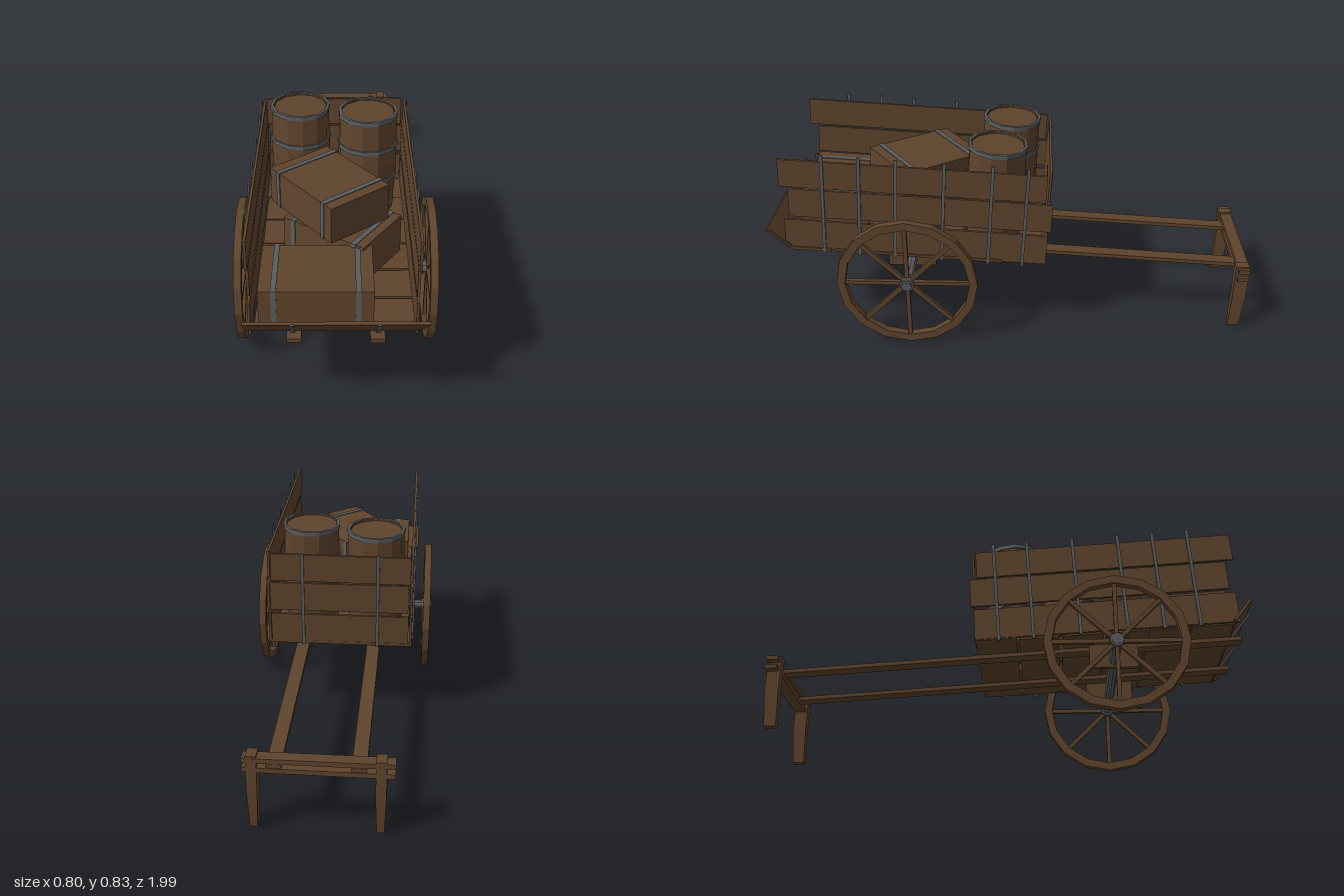
import * as THREE from 'three';

export function createModel() {
  const wood = new THREE.MeshStandardMaterial({ color: 0x5f442d });
  wood.name = 'brown wood';
  const metal = new THREE.MeshStandardMaterial({ color: 0x5b5d60 });
  metal.name = 'grey iron';

  // faceted normals for the low-poly look
  const flat = (geo) => {
    const g = geo.index ? geo.toNonIndexed() : geo;
    g.computeVertexNormals();
    return g;
  };
  const add = (parent, name, geo, mat, x = 0, y = 0, z = 0) => {
    const m = new THREE.Mesh(flat(geo), mat);
    m.name = name;
    m.position.set(x, y, z);
    parent.add(m);
    return m;
  };
  const box = (parent, name, mat, w, h, d, x, y, z) =>
    add(parent, name, new THREE.BoxGeometry(w, h, d), mat, x, y, z);
  const group = (parent, name, x = 0, y = 0, z = 0) => {
    const g = new THREE.Group();
    g.name = name;
    g.position.set(x, y, z);
    parent.add(g);
    return g;
  };
  // small repeatable unevenness
  let seed = 7;
  const jitter = (a) => {
    seed = (seed * 16807) % 2147483647;
    return (seed / 2147483647 - 0.5) * 2 * a;
  };

  const model = new THREE.Group();
  model.name = 'handCart';

  // everything carried by the shafts leans slightly back
  const body = group(model, 'cartBody', 0, 0.337, 0);
  body.rotation.x = -0.062;

  // long shafts and axle brackets
  for (const x of [-0.153, 0.143]) {
    box(body, 'shaft', wood, 0.053, 0.017, 1.94, x, 0, -0.02);
    box(model, 'axleBracket', wood, 0.018, 0.11, 0.2, x + Math.sign(x) * 0.037, 0.32, 0.42);
  }

  // floor planks
  for (let i = 0; i < 6; i++) {
    const p = box(body, 'floorPlank', wood, 0.59, 0.012, 0.166, -0.008 + jitter(0.008), 0.015, -0.055 + i * 0.175);
    p.rotation.set(jitter(0.02), jitter(0.01), jitter(0.008));
  }

  // side walls: [bottom, top, back z, front z]
  const rows = [[0.013, 0.147, -0.14, 0.925], [0.165, 0.29, -0.15, 0.905], [0.298, 0.417, -0.12, 0.94]];
  for (const [x, out] of [[-0.309, -1], [0.282, 1]]) {
    for (const [b, t, z0, z1] of rows) {
      const p = box(body, 'sideBoard', wood, 0.01, t - b, z1 - z0, x, (b + t) / 2, (z0 + z1) / 2);
      p.rotation.x = jitter(0.006);
    }
    for (const z of [0.78, 0.635, 0.49, 0.3, 0.11, -0.03])
      box(body, 'sideStrap', metal, 0.007, 0.447, 0.013, x + out * 0.009, 0.225, z - 0.014);
  }

  // back wall
  rows.forEach(([b, t], i) => {
    const p = box(body, 'backBoard', wood, 0.575, t - b, 0.01, -0.012 + [0, 0.003, -0.004][i], (b + t) / 2, -0.132);
    p.rotation.z = jitter(0.008);
  });
  for (const x of [-0.17, 0.14])
    box(body, 'backStrap', metal, 0.013, 0.42, 0.007, x, 0.215, -0.141);

  // tailgate dropped outward, one end cut on a slant
  const tailgate = group(model, 'tailgate', 0, 0.405, 0.898);
  tailgate.rotation.x = 0.66;
  const gateShape = new THREE.Shape([[-0.33, 0], [0.287, -0.006], [0.322, 0.138], [-0.33, 0.118]]
    .map(([x, y]) => new THREE.Vector2(x, y)));
  add(tailgate, 'tailgateBoard', new THREE.ExtrudeGeometry(gateShape, { depth: 0.012, bevelEnabled: false }), wood, 0, 0, -0.006);
  for (const x of [-0.158, 0.145])
    box(tailgate, 'tailgateStrap', metal, 0.014, 0.155, 0.007, x, 0.072, 0.01);

  // handle bars and prop legs
  const handle = group(model, 'handle', -0.012, 0, -0.967);
  box(handle, 'upperHandleBar', wood, 0.535, 0.019, 0.048, 0, 0.296, 0).rotation.y = 0.006;
  box(handle, 'lowerHandleBar', wood, 0.535, 0.019, 0.048, 0, 0.258, 0);
  for (const x of [-0.218, 0.234]) {
    const geo = new THREE.BoxGeometry(0.038, 0.3, 0.056, 1, 2, 1);
    const p = geo.attributes.position;
    for (let i = 0; i < p.count; i++) {
      const y = p.getY(i);
      if (y < -0.1) {
        p.setX(i, p.getX(i) * 0.72);
        p.setZ(i, p.getZ(i) * 0.85 + 0.008);
      }
    }
    add(handle, 'propLeg', geo, wood, x, 0.163, 0.004);
  }

  // axle
  const axle = new THREE.CylinderGeometry(0.021, 0.021, 0.8, 8);
  axle.rotateZ(Math.PI / 2);
  add(model, 'axle', axle, metal, 0, 0.295, 0.42);

  // wheels
  const R = 0.288, r = 0.254, w = 0.015;
  for (const x of [-0.376, 0.365]) {
    const wheel = group(model, 'wheel', x, 0.295, 0.42);
    const rim = new THREE.LatheGeometry(
      [[R, -w], [R, w], [r, w], [r, -w], [R, -w]].map(([a, b]) => new THREE.Vector2(a, b)), 16);
    rim.rotateZ(Math.PI / 2);
    add(wheel, 'rim', rim, wood);
    const hub = new THREE.CylinderGeometry(0.029, 0.029, 0.045, 8);
    hub.rotateZ(Math.PI / 2);
    add(wheel, 'hub', hub, metal);
    for (let i = 0; i < 8; i++) {
      const spoke = new THREE.BoxGeometry(0.016, 0.245, 0.017);
      spoke.translate(0, 0.142, 0);
      add(wheel, 'spoke', spoke, wood).rotation.x = i * Math.PI / 4;
    }
  }

  // barrels with iron hoops
  const barrel = (x, z, turn) => {
    const g = group(body, 'barrel', x, 0.02, z);
    g.rotation.y = turn;
    const profile = [[0, 0], [0.108, 0], [0.118, 0.13], [0.121, 0.25], [0.117, 0.45], [0.108, 0.45], [0.108, 0.443], [0, 0.443]];
    add(g, 'barrelStaves', new THREE.LatheGeometry(profile.map(([a, b]) => new THREE.Vector2(a, b)), 12), wood);
    for (const [y, rad] of [[0.04, 0.111], [0.17, 0.119], [0.312, 0.12], [0.444, 0.117]]) {
      const hoop = [[rad - 0.006, -0.009], [rad + 0.005, -0.009], [rad + 0.005, 0.009], [rad - 0.006, 0.009], [rad - 0.006, -0.009]];
      add(g, 'barrelHoop', new THREE.LatheGeometry(hoop.map(([a, b]) => new THREE.Vector2(a, b)), 12), metal, 0, y, 0)
        .rotation.z = jitter(0.015);
    }
  };
  barrel(-0.153, 0.035, 0.1);
  barrel(0.123, 0.085, 0.35);

  // crates bound with two straps
  const crate = (lx, h, lz, x, y, z, turn, strapX) => {
    const g = group(body, 'crate', x, y + h / 2, z);
    g.rotation.y = turn;
    box(g, 'crateBox', wood, lx, h, lz, 0, 0, 0);
    for (const s of strapX)
      box(g, 'crateStrap', metal, 0.02, h + 0.006, lz + 0.006, s, 0, 0);
  };
  crate(0.41, 0.152, 0.285, -0.075, 0.021, 0.752, 0, [-0.15, 0.15]);
  crate(0.37, 0.165, 0.27, 0.02, 0.021, 0.435, -0.6, [-0.14, 0.14]);
  crate(0.385, 0.15, 0.28, -0.033, 0.19, 0.388, -0.9, [-0.14, 0.14]);

  return model;
}
